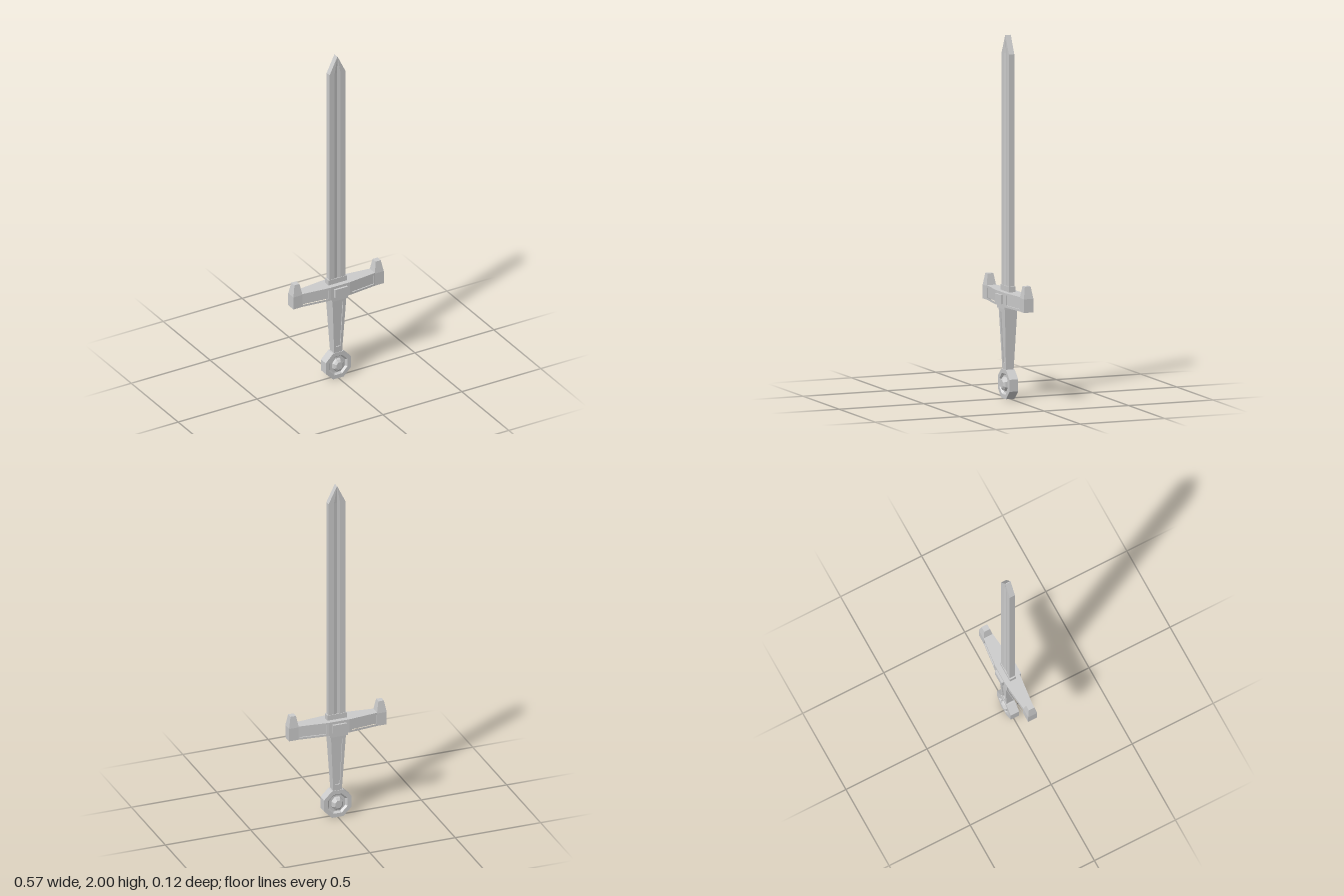
import * as THREE from 'three';

const material = new THREE.MeshStandardMaterial({ color: 0xcccccc, flatShading: true });

function add(parent, name, geometry) {
  const mesh = new THREE.Mesh(geometry, material);
  mesh.name = name;
  parent.add(mesh);
  return mesh;
}

// Move every vertex by a rule
function reshape(geometry, rule) {
  const p = geometry.attributes.position;
  const v = new THREE.Vector3();
  for (let i = 0; i < p.count; i++) {
    v.fromBufferAttribute(p, i);
    rule(v);
    p.setXYZ(i, v.x, v.y, v.z);
  }
  geometry.computeVertexNormals();
  return geometry;
}

function shapeOf(points) {
  return new THREE.Shape(points.map(([x, y]) => new THREE.Vector2(x, y)));
}

function box(parent, name, w, y0, y1, d, x = 0) {
  return add(parent, name, new THREE.BoxGeometry(w, y1 - y0, d).translate(x, (y0 + y1) / 2, 0));
}

// Slab from z = -1 to 1, scaled in depth by halfDepth(x, y), with an optional window
function slab(outline, window, halfDepth) {
  const shape = shapeOf(outline);
  if (window) shape.holes.push(shapeOf(window));
  const g = new THREE.ExtrudeGeometry(shape, { depth: 2, bevelEnabled: false }).translate(0, 0, -1);
  return reshape(g, v => { v.z *= halfDepth(v.x, v.y); });
}

// Framed panel sunk into both faces of a tapering slab
function panelled(parent, name, outline, window, halfDepth, sink) {
  add(parent, name + 'Frame', slab(outline, window, halfDepth));
  add(parent, name + 'Panel', slab(window, null, (x, y) => halfDepth(x, y) - sink));
}

export function createModel() {
  const sword = new THREE.Group();
  sword.name = 'sword';

  // Blade: flat bar with a shallow central groove, narrowing to a point
  const section = [[-0.05, -0.016], [-0.018, -0.016], [0, -0.012], [0.018, -0.016], [0.05, -0.016],
    [0.05, 0.016], [0.018, 0.016], [0, 0.012], [-0.018, 0.016], [-0.05, 0.016]];
  const blade = new THREE.ExtrudeGeometry(shapeOf(section), { depth: 2, steps: 2, bevelEnabled: false });
  blade.rotateX(-Math.PI / 2);
  add(sword, 'blade', reshape(blade, v => {
    const level = Math.round(v.y);
    v.y = [0.58, 1.9, 2][level];
    if (level === 2) v.x *= 0.03;
  }));
  box(sword, 'bladeCollar', 0.116, 0.585, 0.62, 0.038);

  // Crossguard
  const guard = new THREE.Group();
  guard.name = 'crossguard';
  sword.add(guard);
  box(guard, 'guardCentre', 0.12, 0.51, 0.59, 0.094);
  box(guard, 'guardBoss', 0.08, 0.525, 0.575, 0.12);
  const guardDepth = x => THREE.MathUtils.mapLinear(Math.abs(x), 0.06, 0.23, 0.047, 0.028);
  for (const side of [1, -1]) {
    const name = side > 0 ? 'left' : 'right';
    const rect = (x0, x1, y0, y1) => [[x0, y0], [x1, y0], [x1, y1], [x0, y1]].map(([x, y]) => [side * x, y]);
    panelled(guard, name + 'Arm', rect(0.06, 0.23, 0.51, 0.59), rect(0.075, 0.225, 0.522, 0.578), guardDepth, 0.007);

    // Upturned end
    box(guard, name + 'ArmEnd', 0.057, 0.51, 0.585, 0.056, side * 0.2575);
    const prong = reshape(new THREE.BoxGeometry(0.057, 0.067, 0.056), v => {
      if (v.y > 0) { v.x *= 0.56; v.z *= 0.62; }
      v.x += side * 0.2575;
      v.y += 0.6185;
    });
    add(guard, name + 'Prong', prong);
  }

  // Grip, wider towards the guard, with a long sunken panel on each face
  box(sword, 'gripCollar', 0.104, 0.495, 0.515, 0.086);
  panelled(sword, 'grip',
    [[-0.024, 0.14], [0.024, 0.14], [0.044, 0.5], [-0.044, 0.5]],
    [[-0.014, 0.195], [0.014, 0.195], [0.024, 0.475], [-0.024, 0.475]],
    (x, y) => THREE.MathUtils.mapLinear(y, 0.14, 0.5, 0.022, 0.037), 0.007);

  // Octagonal pommel: dished disc with a raised boss on both faces
  const pommel = new THREE.Group();
  pommel.name = 'pommel';
  pommel.position.y = 0.079;
  sword.add(pommel);
  const turned = half => {
    const profile = [...half.map(([r, z]) => new THREE.Vector2(r, -z)),
      ...half.slice().reverse().map(([r, z]) => new THREE.Vector2(r, z))];
    return new THREE.LatheGeometry(profile, 8, Math.PI / 8).rotateX(Math.PI / 2);
  };
  add(pommel, 'pommelDisc', turned([[0, 0.015], [0.052, 0.015], [0.062, 0.026], [0.087, 0.026]]));
  const boss = add(pommel, 'pommelBoss', turned([[0, 0.038], [0.024, 0.038], [0.038, 0.028], [0.042, 0.014]]));
  boss.scale.x = 0.85;

  return sword;
}
